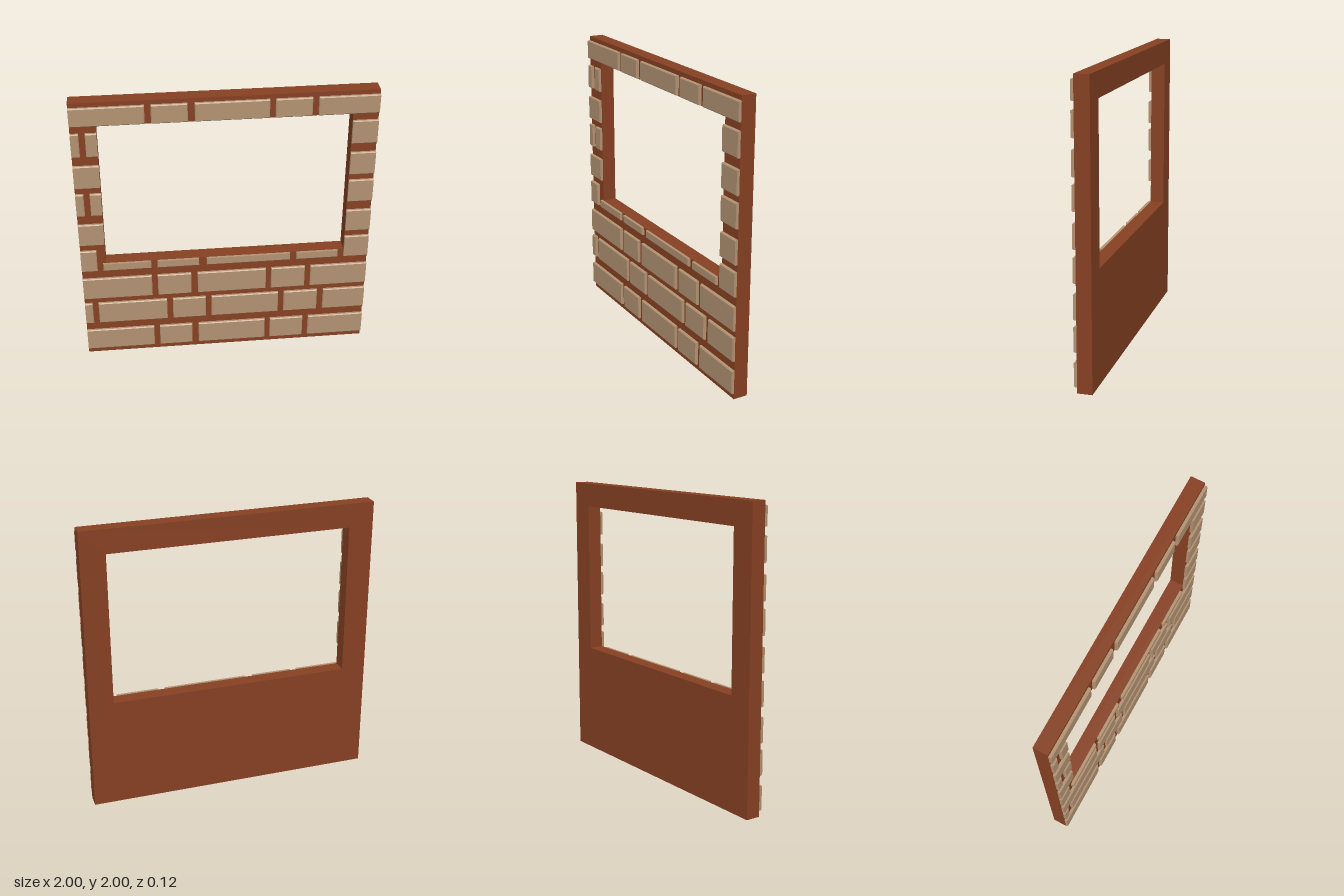
import * as THREE from 'three';

const HOLE = { x0: -0.83, x1: 0.83, y0: 0.775, y1: 1.835 };
const WALL_BACK = -0.06, WALL_FRONT = 0.04, BRICK_FRONT = 0.06, BEVEL = 0.006;

// Brick slab whose front rim is chamfered, except on sides cut flush with the wall
function brickGeometry(x0, x1, y0, y1) {
  const depth = BRICK_FRONT - WALL_FRONT;
  const inset = {
    x0: x0 <= -1 || x0 === HOLE.x1 ? 0 : BEVEL,
    x1: x1 >= 1 || x1 === HOLE.x0 ? 0 : BEVEL,
    y0: BEVEL,
    y1: y1 === HOLE.y0 ? 0 : BEVEL,
  };
  const geo = new THREE.BoxGeometry(1, 1, depth, 1, 1, 2).toNonIndexed();
  const p = geo.attributes.position;
  for (let i = 0; i < p.count; i++) {
    const front = p.getZ(i) > depth / 4 ? 1 : 0;
    const back = p.getZ(i) < -depth / 4;
    const x = p.getX(i) < 0 ? x0 + front * inset.x0 : x1 - front * inset.x1;
    const y = p.getY(i) < 0 ? y0 + front * inset.y0 : y1 - front * inset.y1;
    p.setXYZ(i, x, y, front ? BRICK_FRONT : back ? WALL_FRONT : BRICK_FRONT - BEVEL);
  }
  geo.computeVertexNormals();
  return geo;
}

export function createModel() {
  const model = new THREE.Group();
  model.name = 'brickWindowWall';
  const mortar = new THREE.MeshStandardMaterial({ color: 0x864022 });
  mortar.name = 'red brown mortar';
  const tan = new THREE.MeshStandardMaterial({ color: 0xb29272 });
  tan.name = 'tan brick';

  // Wall slab with window opening
  const outline = new THREE.Shape([[-1, 0], [1, 0], [1, 2], [-1, 2]].map(([x, y]) => new THREE.Vector2(x, y)));
  const { x0, x1, y0, y1 } = HOLE;
  outline.holes.push(new THREE.Path([[x0, y0], [x0, y1], [x1, y1], [x1, y0]].map(([x, y]) => new THREE.Vector2(x, y))));
  const slab = new THREE.ExtrudeGeometry(outline, { depth: WALL_FRONT - WALL_BACK, bevelEnabled: false });
  slab.translate(0, 0, WALL_BACK);
  const wall = new THREE.Mesh(slab, mortar);
  wall.name = 'wall';
  model.add(wall);

  // Brick courses: bottom, top, then the [start, end] of each brick
  const even = [[-1, -0.52], [-0.48, -0.245], [-0.2, 0.283], [0.32, 0.56], [0.6, 1]];
  const odd = [[-1, -0.945], [-0.905, -0.42], [-0.38, -0.145], [-0.105, 0.375], [0.415, 0.657], [0.7, 1]];
  const split = [[-1, -0.945], [-0.905, x0], [x1, 1]];
  const whole = [[-1, x0], [x1, 1]];
  const courses = [
    [0.04, 0.207, even],
    [0.272, 0.442, odd],
    [0.485, 0.655, even],
    [0.72, 0.888, [[-1, -0.89], [x1, 1]]],
    [0.72, y0, [[-0.85, -0.52], [-0.477, -0.188], [-0.135, 0.45], [0.495, 0.787]]], // cut bricks under the sill
    [0.935, 1.102, whole],
    [1.172, 1.34, split],
    [1.385, 1.552, whole],
    [1.62, 1.788, split],
    [1.84, 1.97, even],
  ];
  courses.forEach(([bottom, top, bricks], i) => {
    const course = new THREE.Group();
    course.name = `brickCourse${i + 1}`;
    for (const [start, end] of bricks) {
      const brick = new THREE.Mesh(brickGeometry(start, end, bottom, top), tan);
      brick.name = 'brick';
      course.add(brick);
    }
    model.add(course);
  });
  return model;
}
